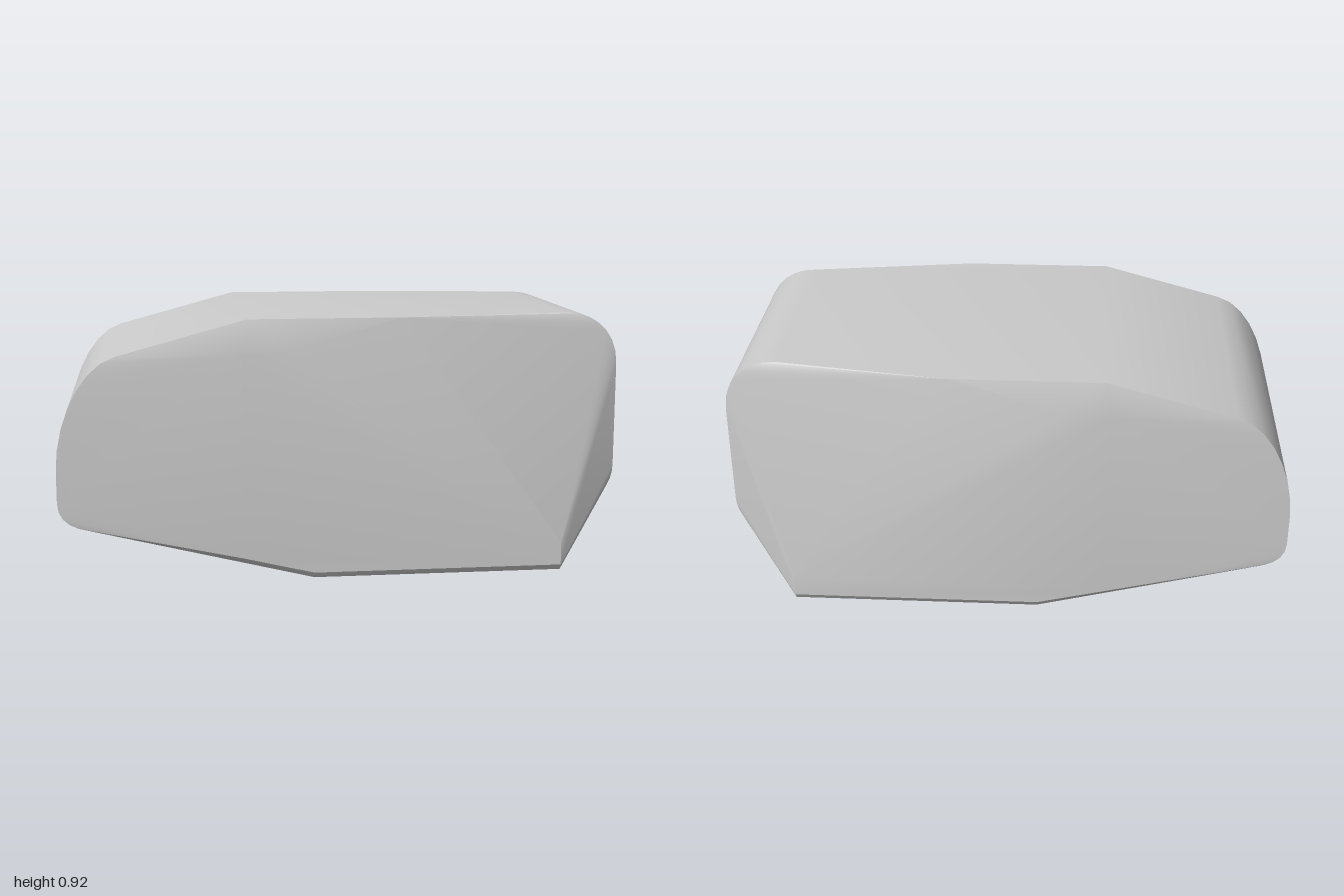
import * as THREE from 'three';
import { ConvexGeometry } from 'three/addons/geometries/ConvexGeometry.js';
import { toCreasedNormals } from 'three/addons/utils/BufferGeometryUtils.js';

// Mirrors [x, y] points to both sides at half-width z
const pair = (points, z) => points.flatMap(([x, y]) => [
  new THREE.Vector3(x, y, z), new THREE.Vector3(x, y, -z),
]);

// Points of a cubic curve, used for the rounded ends
const bend = (a, b, c, d, steps) => new THREE.CubicBezierCurve(
  ...[a, b, c, d].map(([x, y]) => new THREE.Vector2(x, y)),
).getPoints(steps).map((p) => [p.x, p.y]);

export function createModel() {
  const group = new THREE.Group();
  group.name = 'facetedBlock';

  // Sloping end: big upper curve and small lower curve
  const slopedEnd = [
    ...bend([-0.79, 0.795], [-0.91, 0.765], [-1, 0.57], [-1, 0.4], 7),
    ...bend([-1, 0.29], [-1, 0.23], [-0.96, 0.2], [-0.89, 0.188], 5),
  ];
  // Narrower blunt end
  const bluntEnd = [
    ...bend([0.81, 0.917], [0.92, 0.917], [1, 0.84], [1, 0.73], 7),
    ...bend([1, 0.36], [1, 0.32], [0.99, 0.295], [0.967, 0.26], 4),
  ];
  const roof = [[-0.34, 0.917], [0.2, 0.917]];
  const base = [[-0.11, 0], [0.78, 0]];
  // Widest flat panel on each side
  const sidePanel = [[-0.36, 0.8], [-0.2, 0.81], [0.78, 0.1], [0.78, 0.02], [-0.11, 0.02], [-0.36, 0.08]];

  const hull = new ConvexGeometry([
    ...pair(slopedEnd, 0.505),
    ...pair(roof, 0.505),
    ...pair(bluntEnd, 0.408),
    ...pair(base, 0.52),
    ...pair(sidePanel, 0.532),
  ]);

  const body = new THREE.Mesh(
    toCreasedNormals(hull, 0.3),
    new THREE.MeshStandardMaterial({ color: 0xcccccc }),
  );
  body.name = 'body';
  group.add(body);
  return group;
}
